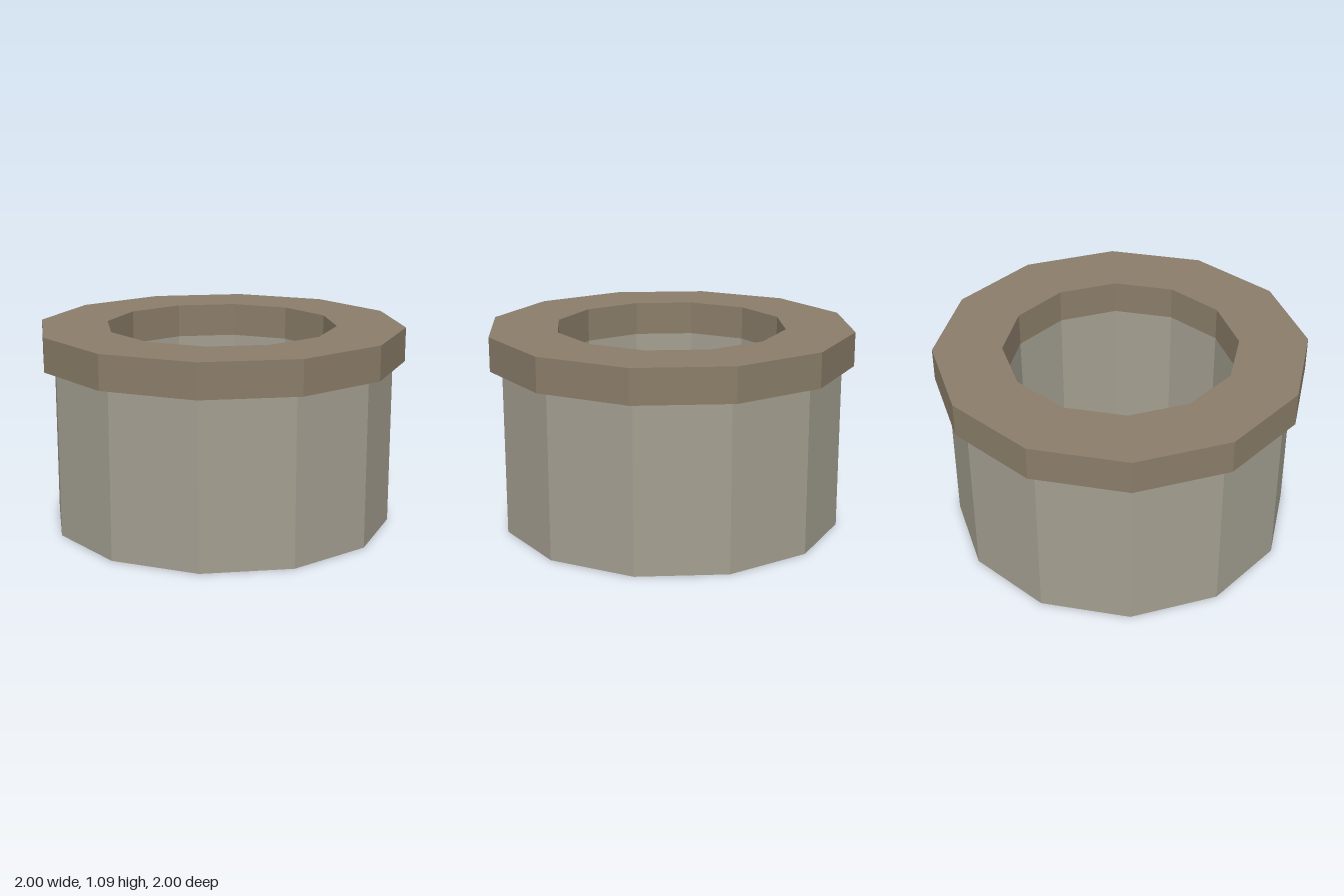
import * as THREE from 'three';

const SIDES = 12;

// Closed hollow ring with a rectangular section, faceted into flat sides
function ring(name, inner, outer, bottom, top, material) {
  const profile = [
    [outer, bottom], [outer, top], [inner, top], [inner, bottom], [outer, bottom],
  ].map(([r, y]) => new THREE.Vector2(r, y));
  const geometry = new THREE.LatheGeometry(profile, SIDES).toNonIndexed();
  geometry.computeVertexNormals();
  const mesh = new THREE.Mesh(geometry, material);
  mesh.name = name;
  return mesh;
}

export function createModel() {
  const stone = new THREE.MeshStandardMaterial({ color: 0xa39e90 });
  stone.name = 'grey stone';
  const cap = new THREE.MeshStandardMaterial({ color: 0x8a7d69 });
  cap.name = 'brown capstone';

  const group = new THREE.Group();
  group.name = 'wellRing';
  group.add(ring('wall', 0.63, 0.935, 0, 0.905, stone)); // open shaft
  group.add(ring('rim', 0.63, 1, 0.905, 1.09, cap)); // overhanging top
  return group;
}
